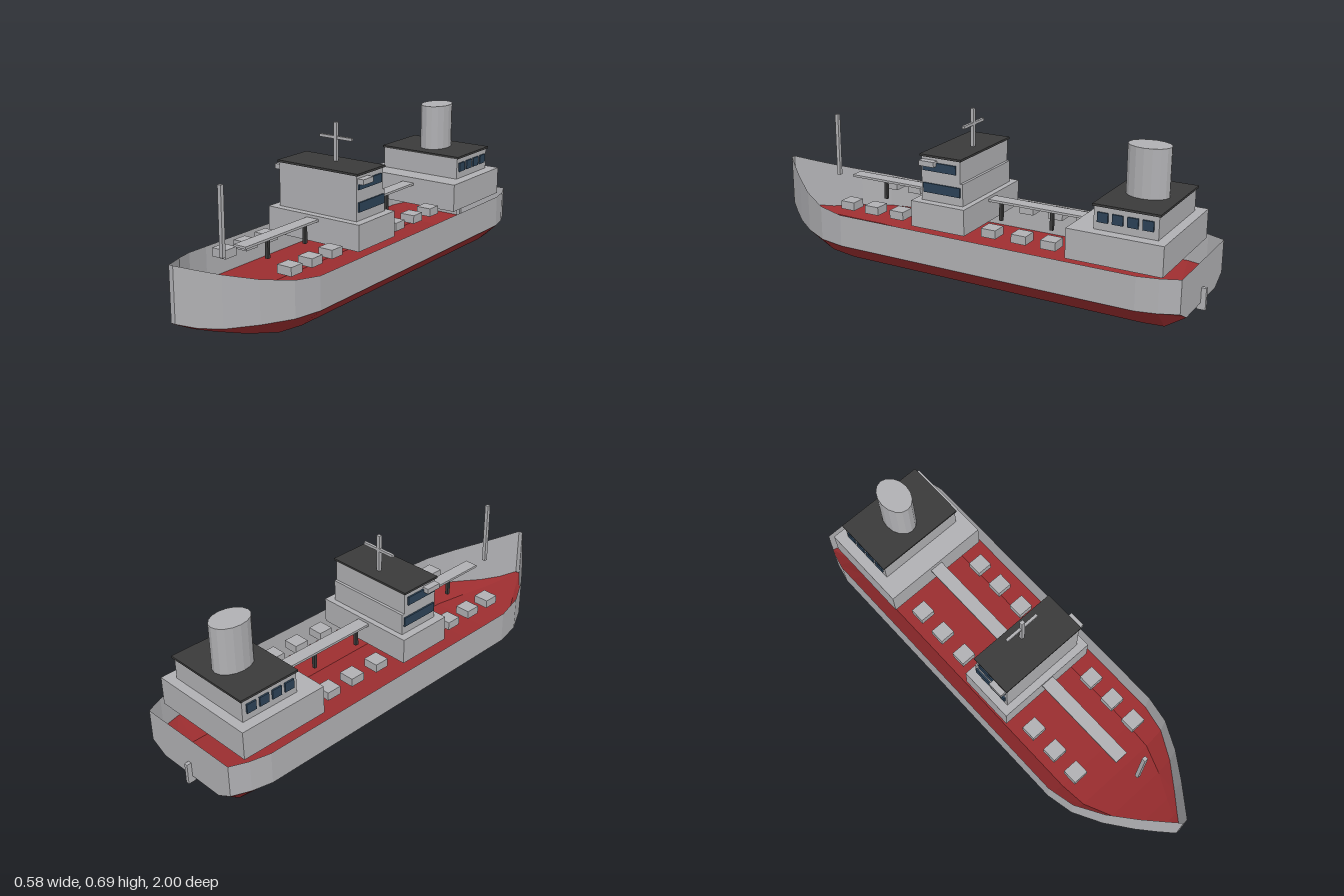
import * as THREE from 'three';

const grey = new THREE.MeshStandardMaterial({ color: 0xb0b0b3, side: THREE.DoubleSide });
grey.name = 'grey paint';
const red = new THREE.MeshStandardMaterial({ color: 0x9a2d2f, side: THREE.DoubleSide });
red.name = 'red antifouling';
const dark = new THREE.MeshStandardMaterial({ color: 0x3a3a3a });
dark.name = 'dark roofing';
const glass = new THREE.MeshStandardMaterial({ color: 0x2c4257 });
glass.name = 'window glass';

// Hull stations: z, half breadth, sheer height, chine height, bottom half breadth, bottom height
const stations = [
  [-0.98, 0.238, 0.222, 0.083, 0.165, 0.043],
  [-0.905, 0.27, 0.222, 0.083, 0.19, 0],
  [-0.82, 0.29, 0.222, 0.083, 0.2, 0],
  [0.52, 0.29, 0.222, 0.083, 0.2, 0.003],
  [0.64, 0.265, 0.234, 0.083, 0.19, 0.012],
  [0.76, 0.2, 0.258, 0.083, 0.14, 0.034],
  [0.87, 0.118, 0.29, 0.083, 0.078, 0.064],
  [0.94, 0.06, 0.315, 0.095, 0.04, 0.088],
  [1, 0.01, 0.338, 0.118, 0.008, 0.117],
];

// Half section of a station on one side: sheer, chine, bilge
const section = ([z, b, top, chine, bb, bot], s) => [[s * b, top, z], [s * b, chine, z], [s * bb, bot, z]];

// Flat-shaded mesh from a list of four-cornered faces
function quads(name, faces, material) {
  const pos = [];
  for (const [a, b, c, d] of faces) pos.push(...a, ...b, ...c, ...a, ...c, ...d);
  const g = new THREE.BufferGeometry();
  g.setAttribute('position', new THREE.Float32BufferAttribute(pos, 3));
  g.computeVertexNormals();
  const m = new THREE.Mesh(g, material);
  m.name = name;
  return m;
}

function buildHull() {
  const hull = new THREE.Group();
  hull.name = 'hull';
  const sides = [], bottom = [];
  for (let i = 0; i < stations.length - 1; i++) {
    const [l0, l1] = [section(stations[i], 1), section(stations[i + 1], 1)];
    const [r0, r1] = [section(stations[i], -1), section(stations[i + 1], -1)];
    sides.push([l0[1], l0[0], l1[0], l1[1]], [r0[0], r0[1], r1[1], r1[0]]);
    bottom.push([l0[2], l0[1], l1[1], l1[2]], [r0[1], r0[2], r1[2], r1[1]]);
    bottom.push([r0[2], l0[2], l1[2], r1[2]]);
  }
  // Transom and blunt stem close the open ends
  const L = section(stations[0], 1), R = section(stations[0], -1);
  const bow = stations[stations.length - 1];
  const BL = section(bow, 1), BR = section(bow, -1);
  hull.add(quads('hullSides', sides, grey));
  hull.add(quads('hullBottom', bottom, red));
  hull.add(quads('transom', [[L[1], R[1], R[0], L[0]], [L[2], R[2], R[1], L[1]]], grey));
  hull.add(quads('stem', [[BR[1], BL[1], BL[0], BR[0]]], grey));
  return hull;
}

// Box given by its extents on each axis
function box(parent, name, [x0, x1], [y0, y1], [z0, z1], material = grey) {
  const m = new THREE.Mesh(new THREE.BoxGeometry(x1 - x0, y1 - y0, z1 - z0), material);
  m.position.set((x0 + x1) / 2, (y0 + y1) / 2, (z0 + z1) / 2);
  m.name = name;
  parent.add(m);
  return m;
}
const wide = (h) => [-h, h];

// Thin window plates on both sides of a house wall
function windows(parent, wall, ys, zs) {
  for (const s of [1, -1]) {
    const x = s > 0 ? [wall, wall + 0.007] : [-wall - 0.007, -wall];
    box(parent, 'window', x, ys, zs, glass);
  }
}

export function createModel() {
  const ship = new THREE.Group();
  ship.name = 'tanker';
  ship.add(buildHull());

  // Midship bridge
  const bridge = new THREE.Group();
  bridge.name = 'bridge';
  box(bridge, 'bridgeBase', wide(0.232), [0.215, 0.326], [-0.055, 0.197]);
  box(bridge, 'bridgeLowerDeck', wide(0.197), [0.326, 0.42], [-0.03, 0.165]);
  box(bridge, 'bridgeUpperDeck', wide(0.197), [0.42, 0.515], [-0.018, 0.165]);
  box(bridge, 'bridgeRoof', wide(0.204), [0.514, 0.523], [-0.024, 0.17], dark);
  windows(bridge, 0.197, [0.363, 0.403], [-0.02, 0.154]);
  windows(bridge, 0.197, [0.456, 0.493], [0, 0.157]);
  for (const s of [1, -1]) {
    box(bridge, 'bridgeWing', s > 0 ? [0.19, 0.226] : [-0.226, -0.19], [0.48, 0.502], [0.09, 0.16]);
  }
  box(bridge, 'radarMast', wide(0.008), [0.52, 0.685], [0.03, 0.045]);
  box(bridge, 'radarYard', wide(0.081), [0.615, 0.627], [0.03, 0.042]);
  ship.add(bridge);

  // Aft house with the funnel
  const aft = new THREE.Group();
  aft.name = 'aftHouse';
  box(aft, 'aftBase', wide(0.243), [0.215, 0.338], [-0.907, -0.51]);
  box(aft, 'aftUpperDeck', wide(0.197), [0.338, 0.433], [-0.867, -0.605]);
  box(aft, 'aftRoof', wide(0.204), [0.432, 0.441], [-0.875, -0.6], dark);
  for (let i = 0; i < 4; i++) {
    const z = -0.643 - i * 0.061;
    windows(aft, 0.197, [0.37, 0.41], [z - 0.022, z + 0.022]);
  }
  const funnelGeo = new THREE.CylinderGeometry(1, 1, 0.2, 16).toNonIndexed();
  funnelGeo.scale(0.065, 1, 0.088);
  funnelGeo.computeVertexNormals();
  const funnel = new THREE.Mesh(funnelGeo, grey);
  funnel.name = 'funnel';
  funnel.position.set(0, 0.541, -0.742);
  aft.add(funnel);
  ship.add(aft);

  // Raised catwalk on posts
  box(ship, 'catwalk', wide(0.03), [0.304, 0.314], [0.19, 0.64]);
  box(ship, 'catwalk', wide(0.03), [0.304, 0.314], [-0.515, -0.05]);
  for (const z of [0.48, 0.248, -0.1, -0.335]) {
    box(ship, 'catwalkPost', wide(0.007), [0.22, 0.305], [z - 0.007, z + 0.007], dark);
  }

  // Tank hatches in two rows
  for (const z of [0.547, 0.422, 0.295, -0.148, -0.285, -0.415]) {
    for (const x of [0.165, -0.165]) {
      box(ship, 'tankHatch', [x - 0.034, x + 0.034], [0.215, 0.251], [z - 0.033, z + 0.033]);
    }
  }

  // Foremast and rudder
  box(ship, 'foremast', wide(0.008), [0.293, 0.572], [0.727, 0.743]);
  box(ship, 'rudder', wide(0.008), [0.015, 0.106], [-1, -0.966]);
  return ship;
}
